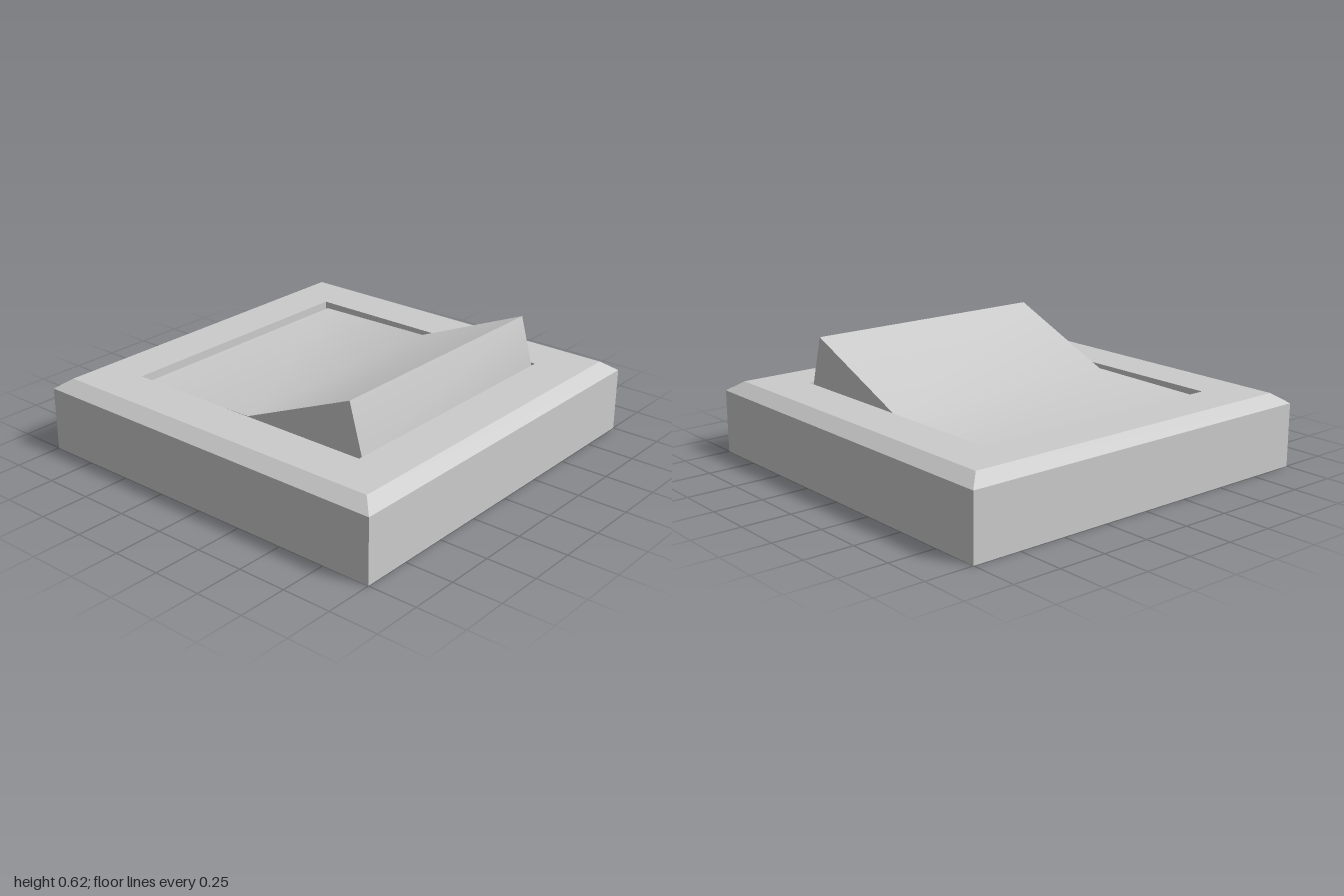
import * as THREE from 'three';
import { toCreasedNormals } from 'three/addons/utils/BufferGeometryUtils.js';

// Closed outline from [x, y] pairs
const points = (list) => list.map(([x, y]) => new THREE.Vector2(x, y));

export function createModel() {
  const group = new THREE.Group();
  group.name = 'rockerSwitch';

  // Square wall plate with bevelled rim and recess: a four-sided lathe of its half section
  const section = points([
    [0, 0], [1, 0], [1, 0.325], [0.93, 0.375], [0.695, 0.375], [0.695, 0.3], [0, 0.3],
  ]);
  section.forEach((p) => { p.x *= Math.SQRT2; }); // half width to corner radius
  const plate = new THREE.Mesh(
    new THREE.LatheGeometry(section, 4, Math.PI / 4),
    new THREE.MeshStandardMaterial({ color: 0xcccccc, flatShading: true })
  );
  plate.name = 'wallPlate';
  group.add(plate);

  // Rocker: side profile with one half level and one half tilted up, soft crease between
  const width = 1.34;
  const profile = new THREE.Shape(points([
    [-0.66, 0.3], [0.693, 0.3], [0.693, 0.362], [0.62, 0.62], [0.005, 0.361], [-0.66, 0.352],
  ]));
  const rockerGeometry = new THREE.ExtrudeGeometry(profile, { depth: width, bevelEnabled: false });
  rockerGeometry.translate(0, 0, -width / 2);
  const rocker = new THREE.Mesh(
    toCreasedNormals(rockerGeometry, 0.5),
    new THREE.MeshStandardMaterial({ color: 0xcccccc })
  );
  rocker.name = 'rocker';
  group.add(rocker);

  return group;
}
